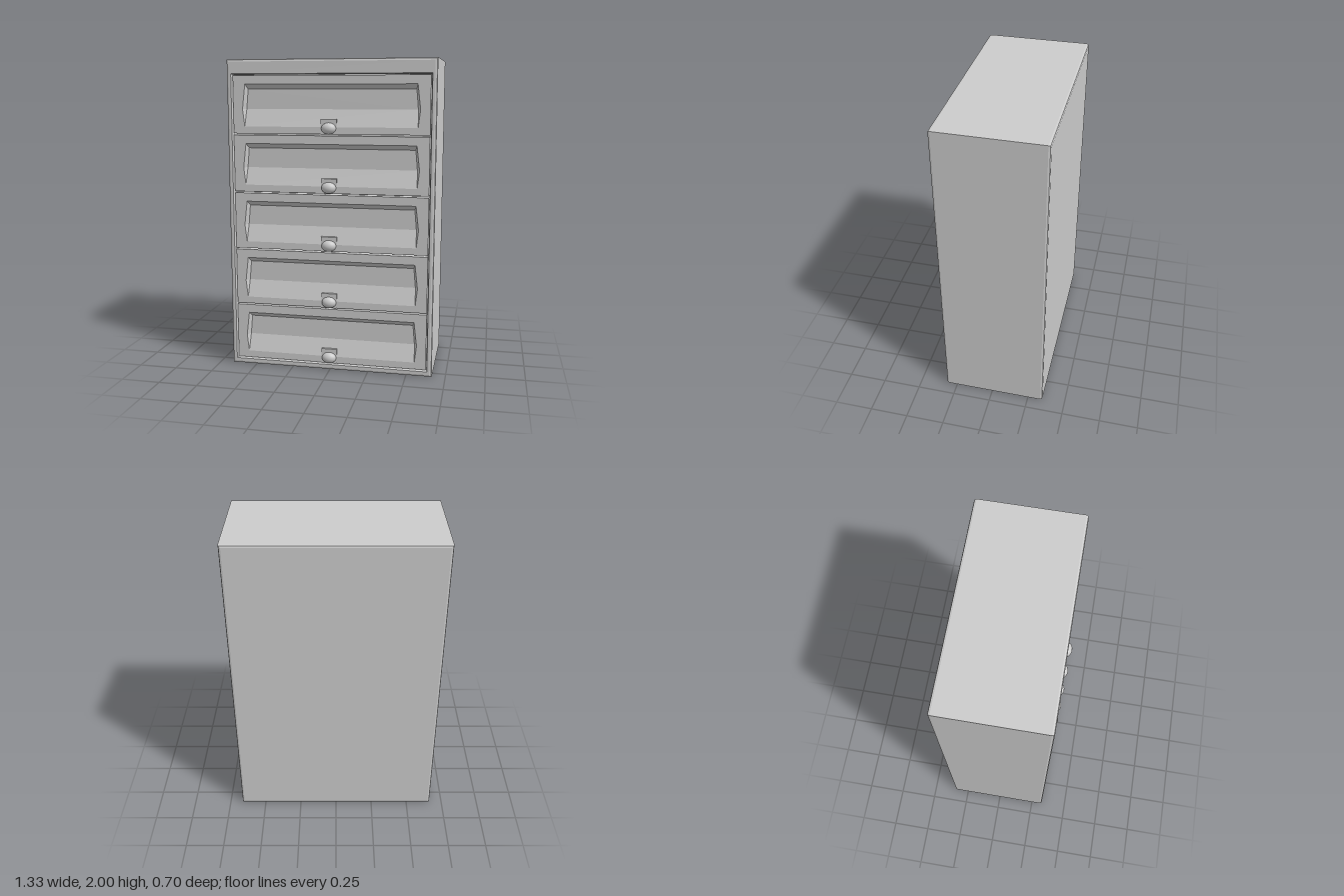
import * as THREE from 'three';

const FRONT = 0.315; // z of the drawer faces
const PITCH = 0.373; // height from one drawer to the next

// Skins a series of rings (anticlockwise from the front) and closes the ends
function loft(rings, capStart) {
  const n = rings[0].length;
  const pos = [];
  const tri = (...points) => points.forEach((p) => pos.push(...p));
  for (let r = 0; r < rings.length - 1; r++) {
    const a = rings[r], b = rings[r + 1];
    for (let i = 0; i < n; i++) {
      const j = (i + 1) % n;
      tri(a[i], a[j], b[j]);
      tri(a[i], b[j], b[i]);
    }
  }
  const first = rings[0], last = rings[rings.length - 1];
  for (let i = 1; i < n - 1; i++) {
    tri(last[0], last[i], last[i + 1]);
    if (capStart) tri(first[0], first[i + 1], first[i]);
  }
  const geometry = new THREE.BufferGeometry();
  geometry.setAttribute('position', new THREE.Float32BufferAttribute(pos, 3));
  geometry.computeVertexNormals();
  return geometry;
}

const rect = (w, y0, y1, z) => [[-w, y0, z], [w, y0, z], [w, y1, z], [-w, y1, z]];

export function createModel() {
  const model = new THREE.Group();
  const material = new THREE.MeshStandardMaterial({ color: 0xcccccc });

  function add(parent, name, geometry, x = 0, y = 0, z = 0) {
    const mesh = new THREE.Mesh(geometry, material);
    mesh.name = name;
    mesh.position.set(x, y, z);
    parent.add(mesh);
    return mesh;
  }

  // Carcass with softened edges and an open front that holds the drawers
  add(model, 'carcass', loft([
    rect(0.65, 0.015, 1.985, -0.35),
    rect(0.661, 0.004, 1.996, -0.346),
    rect(0.665, 0, 2, -0.335),
    rect(0.665, 0, 2, 0.31),
    rect(0.661, 0.004, 1.996, 0.321),
    rect(0.65, 0.015, 1.985, 0.325),
    rect(0.635, 0.035, 1.91, 0.325),
    rect(0.63, 0.04, 1.905, 0.31),
    rect(0.63, 0.04, 1.905, 0.25),
  ], true));

  // Drawer face with an opening for the sunken grip
  const rim = [[0.565, 0.16], [0.547, 0.315], [-0.547, 0.315], [-0.565, 0.16], [-0.552, 0.05], [0.552, 0.05]];
  const face = new THREE.Shape([[-0.626, 0.006], [0.626, 0.006], [0.626, 0.369], [-0.626, 0.369]]
    .map(([x, y]) => new THREE.Vector2(x, y)));
  face.holes.push(new THREE.Path(rim.map(([x, y]) => new THREE.Vector2(x, y))));
  const faceGeometry = new THREE.ExtrudeGeometry(face, { depth: 0.06, bevelEnabled: false });

  // Sunken grip: steep upper edge, flat back, sloping lower face
  const floor = [[0.548, 0.16], [0.537, 0.285], [-0.537, 0.285], [-0.548, 0.16]];
  const recessGeometry = loft([
    rim.map(([x, y]) => [x, y, 0]),
    [...floor.map(([x, y]) => [x, y, -0.035]), ...rim.slice(4).map(([x, y]) => [x, y, 0])],
  ], false);

  const bossGeometry = new THREE.BoxGeometry(0.1, 0.095, 0.05);
  const knobGeometry = new THREE.SphereGeometry(1, 20, 14).scale(0.047, 0.036, 0.035);

  for (let i = 0; i < 5; i++) {
    const drawer = new THREE.Group();
    drawer.name = `drawer${i + 1}`;
    drawer.position.set(0, 0.038 + i * PITCH, FRONT);
    add(drawer, 'drawerFace', faceGeometry, 0, 0, -0.06);
    add(drawer, 'gripRecess', recessGeometry);
    add(drawer, 'knobMount', bossGeometry, -0.005, 0.0525, -0.023);
    add(drawer, 'knob', knobGeometry, -0.005, 0.042, 0.003);
    model.add(drawer);
  }
  return model;
}
